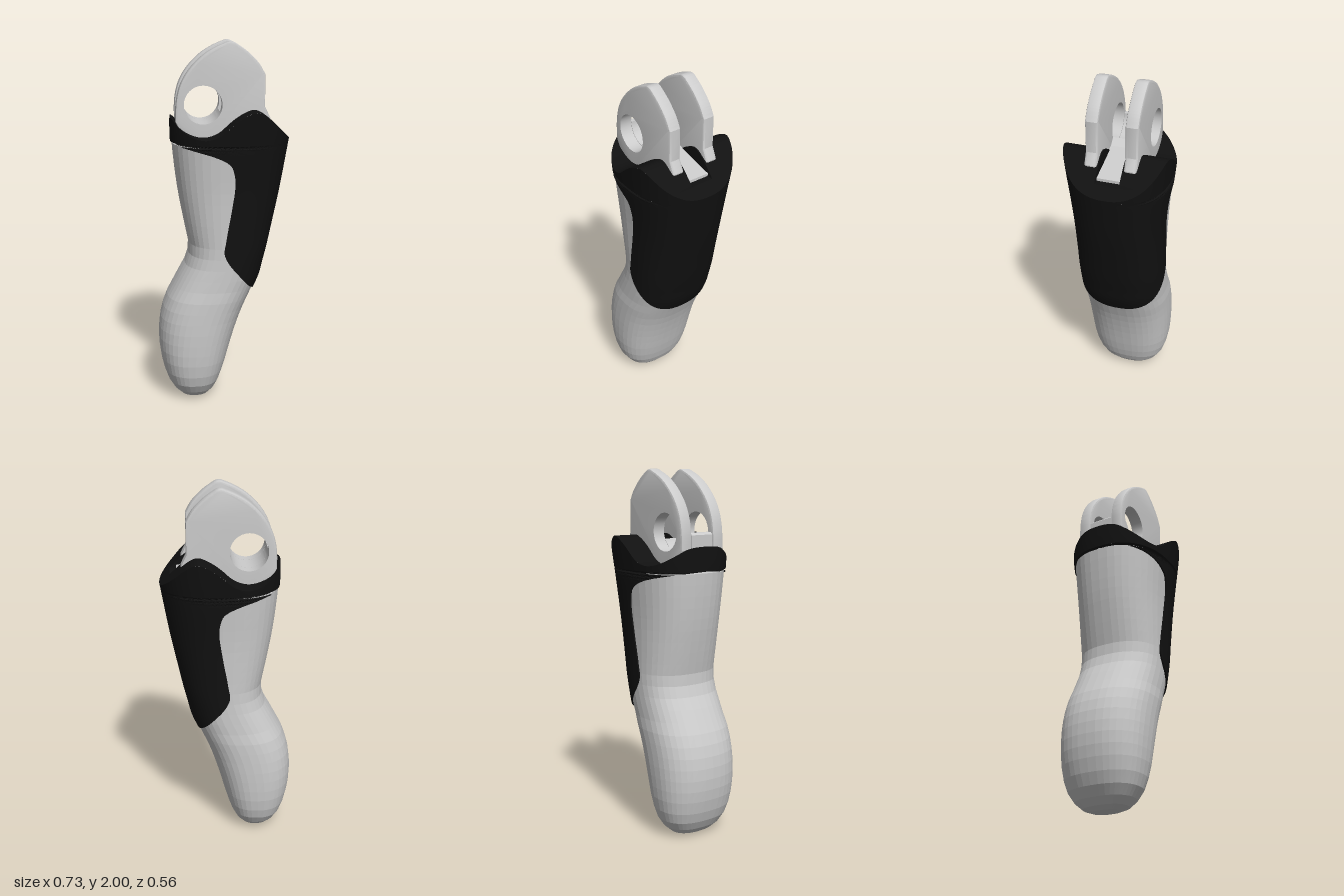
import * as THREE from 'three';
import { toCreasedNormals } from 'three/addons/utils/BufferGeometryUtils.js';

// Smooth lookup through rows of [position, value, value, ...]
function table(rows) {
  const n = rows[0].length - 1;
  const interp = new THREE.CubicInterpolant(rows.map(r => r[0]), rows.flatMap(r => r.slice(1)), n, new Float32Array(n));
  return t => Array.from(interp.evaluate(t));
}

// Segment profile: height, rear x, front x, half width
const profile = table([
  [0, -0.21, -0.11, 0.08], [0.015, -0.25, -0.08, 0.125], [0.05, -0.285, -0.05, 0.165],
  [0.1, -0.315, -0.025, 0.198], [0.2, -0.347, 0.008, 0.225], [0.35, -0.365, 0.05, 0.238],
  [0.5, -0.35, 0.1, 0.241], [0.6, -0.315, 0.143, 0.241], [0.65, -0.292, 0.17, 0.24],
  [0.72, -0.255, 0.2, 0.239], [0.8, -0.212, 0.22, 0.238], [0.88, -0.196, 0.24, 0.238],
  [1.0, -0.217, 0.266, 0.24], [1.2, -0.253, 0.308, 0.246], [1.4, -0.277, 0.343, 0.261],
  [1.5, -0.284, 0.36, 0.27], [1.66, -0.282, 0.385, 0.281]]);

// Height of the cover's scooped top along x
const topEdge = table([
  [-0.3, 1.61], [-0.275, 1.592], [-0.25, 1.563], [-0.2, 1.525], [-0.11, 1.5], [-0.03, 1.525],
  [0.04, 1.585], [0.1, 1.625], [0.16, 1.645], [0.22, 1.615], [0.29, 1.55], [0.37, 1.472]]);

// Rear boundary of the cover along y
const coverEdge = table([
  [0.64, 0.17], [0.7, 0.12], [0.76, 0.07], [0.82, 0.02], [0.88, -0.008], [0.95, 0], [1.15, 0.035],
  [1.25, 0.048], [1.33, 0.04], [1.38, 0.01], [1.42, -0.08], [1.44, -0.16], [1.457, -0.24], [1.47, -0.3]]);

const POWER = 2.4;
const rounded = c => Math.sign(c) * Math.abs(c) ** (2 / POWER);

function sectionPoint(y, angle, offset) {
  const [back, front, half] = profile(y);
  const a = (front - back) / 2 + offset;
  return new THREE.Vector3((back + front) / 2 + a * rounded(Math.cos(angle)), y,
    (half + offset) * rounded(Math.sin(angle)));
}

// Point on the scooped top, lowered by drop
function topPoint(angle, offset, drop = 0) {
  let y = 1.55;
  for (let i = 0; i < 8; i++) y = topEdge(sectionPoint(y, angle, offset).x)[0] - drop;
  return sectionPoint(y, angle, offset);
}

// Surface from a grid of points; faces look along rows x columns
function gridGeometry(grid) {
  const cols = grid[0].length, index = [];
  for (let i = 0; i < grid.length - 1; i++) {
    for (let j = 0; j < cols - 1; j++) {
      const a = i * cols + j, b = a + cols;
      index.push(a, b, a + 1, b, b + 1, a + 1);
    }
  }
  const g = new THREE.BufferGeometry().setFromPoints(grid.flat());
  g.setIndex(index);
  g.computeVertexNormals();
  return g;
}

const range = (n, f) => Array.from({ length: n + 1 }, (_, i) => f(i / n, i));

// Curved grip body, closed at the bottom and under the cover
function bodyGeometry() {
  const ring = f => range(40, t => f((t - 0.5) * 2 * Math.PI));
  const heights = [0, 0.015, 0.05, 0.1, 0.16, ...range(20, t => 0.23 + t * 1.23)];
  const rows = [ring(() => new THREE.Vector3(-0.16, 0, 0))];
  heights.forEach(y => rows.push(ring(a => sectionPoint(y, a, y > 0.6 ? -0.004 : 0))));
  rows.push(ring(() => new THREE.Vector3(0.03, 1.46, 0)));
  return gridGeometry(rows);
}

// Wraparound cover: front panel below, full collar above
function coverGeometry() {
  const split = 1.47, off = 0.004;
  const rows = range(70, t => {
    const y = 0.64 + (split - 0.64) * t ** 1.4;
    const [back, front] = profile(y);
    const k = THREE.MathUtils.clamp((coverEdge(y)[0] - (back + front) / 2) / ((front - back) / 2 + off), -1, 1);
    const T = t === 1 ? Math.PI : Math.acos(Math.sign(k) * Math.abs(k) ** (POWER / 2));
    const row = range(64, s => sectionPoint(y, (2 * s - 1) * T, off));
    // turned-in lip along both borders
    return [sectionPoint(y, -T, -0.015), ...row, sectionPoint(y, T, -0.015)];
  });
  const collar = range(6, t => range(96, s => {
    const a = (2 * s - 1) * Math.PI, top = topPoint(a, off);
    return sectionPoint(split + (top.y - split) * t, a, off);
  }));
  return [toCreasedNormals(gridGeometry(rows), 0.6), gridGeometry(collar)];
}

// Scooped top with a channel running to the front
function coverTopGeometry() {
  const rows = range(72, t => {
    const p = topPoint(Math.PI * (1 - t), 0.004);
    return [-1, -0.064, -0.062, 0.062, 0.064, 1].map(z => {
      const inChannel = Math.abs(z) < 0.063 && p.x > 0;
      return new THREE.Vector3(p.x, inChannel ? Math.min(p.y, 1.535) : p.y,
        THREE.MathUtils.clamp(z, -p.z, p.z));
    });
  });
  rows.forEach(r => r.reverse());
  return toCreasedNormals(gridGeometry(rows), 0.5);
}

const HOLE = { x: -0.113, y: 1.672, r: 0.102 };

// Hinge plate with a round pin hole and softened edges
function plateGeometry() {
  const shape = new THREE.Shape();
  shape.moveTo(0.245, 1.45);
  shape.lineTo(0.245, 1.6);
  shape.lineTo(0.216, 1.66);
  shape.lineTo(0.216, 1.83);
  shape.splineThru([[0.18, 1.89], [0.12, 1.95], [0.06, 1.992]].map(p => new THREE.Vector2(...p)));
  shape.quadraticCurveTo(0.04, 2.003, 0.02, 1.997);
  shape.splineThru([[-0.05, 1.967], [-0.12, 1.922], [-0.19, 1.85], [-0.235, 1.77], [-0.256, 1.68], [-0.259, 1.58]]
    .map(p => new THREE.Vector2(...p)));
  shape.lineTo(-0.2, 1.47);
  shape.lineTo(-0.1, 1.45);
  const hole = new THREE.Path();
  hole.absarc(HOLE.x, HOLE.y, HOLE.r, 0, Math.PI * 2, true);
  shape.holes.push(hole);
  const g = new THREE.ExtrudeGeometry(shape, {
    depth: 0.045, bevelThickness: 0.012, bevelSize: 0.012, bevelOffset: -0.012, bevelSegments: 2, curveSegments: 16 });
  // keep the hole wall straight
  const pos = g.attributes.position;
  for (let i = 0; i < pos.count; i++) {
    const dx = pos.getX(i) - HOLE.x, dy = pos.getY(i) - HOLE.y, d = Math.hypot(dx, dy);
    if (d < 0.122) pos.setXY(i, HOLE.x + dx / d * HOLE.r, HOLE.y + dy / d * HOLE.r);
  }
  return toCreasedNormals(g, 0.45);
}

// Web between the plates: cradle under the pin, then the channel floor
function webGeometry() {
  const s = new THREE.Shape();
  s.moveTo(-0.252, 1.47);
  s.lineTo(-0.252, 1.66);
  s.lineTo(-0.24, HOLE.y);
  s.lineTo(HOLE.x - HOLE.r, HOLE.y);
  s.absarc(HOLE.x, HOLE.y, HOLE.r, Math.PI, Math.PI * 2 - 0.42, false);
  s.lineTo(0.02, 1.6);
  s.lineTo(0.27, 1.55);
  s.lineTo(0.27, 1.45);
  s.lineTo(-0.1, 1.45);
  const g = new THREE.ExtrudeGeometry(s, { depth: 0.136, bevelEnabled: false, curveSegments: 16 });
  g.translate(0, 0, -0.068);
  return toCreasedNormals(g, 0.45);
}

export function createModel() {
  const group = new THREE.Group();
  const grey = new THREE.MeshStandardMaterial({ color: 0xcccccc });
  const faceted = new THREE.MeshStandardMaterial({ color: 0xcccccc, flatShading: true });
  const black = new THREE.MeshStandardMaterial({ color: 0x111111, side: THREE.DoubleSide });
  const add = (name, geometry, material) => {
    const mesh = new THREE.Mesh(geometry, material);
    mesh.name = name;
    group.add(mesh);
    return mesh;
  };

  add('body', bodyGeometry(), faceted);
  const [panel, collar] = coverGeometry();
  add('coverPanel', panel, black);
  add('coverCollar', collar, black);
  add('coverTop', coverTopGeometry(), black);

  const plate = plateGeometry();
  add('leftHingePlate', plate, grey).position.z = 0.082;
  add('rightHingePlate', plate, grey).position.z = -0.127;
  add('hingeWeb', webGeometry(), grey);
  return group;
}
